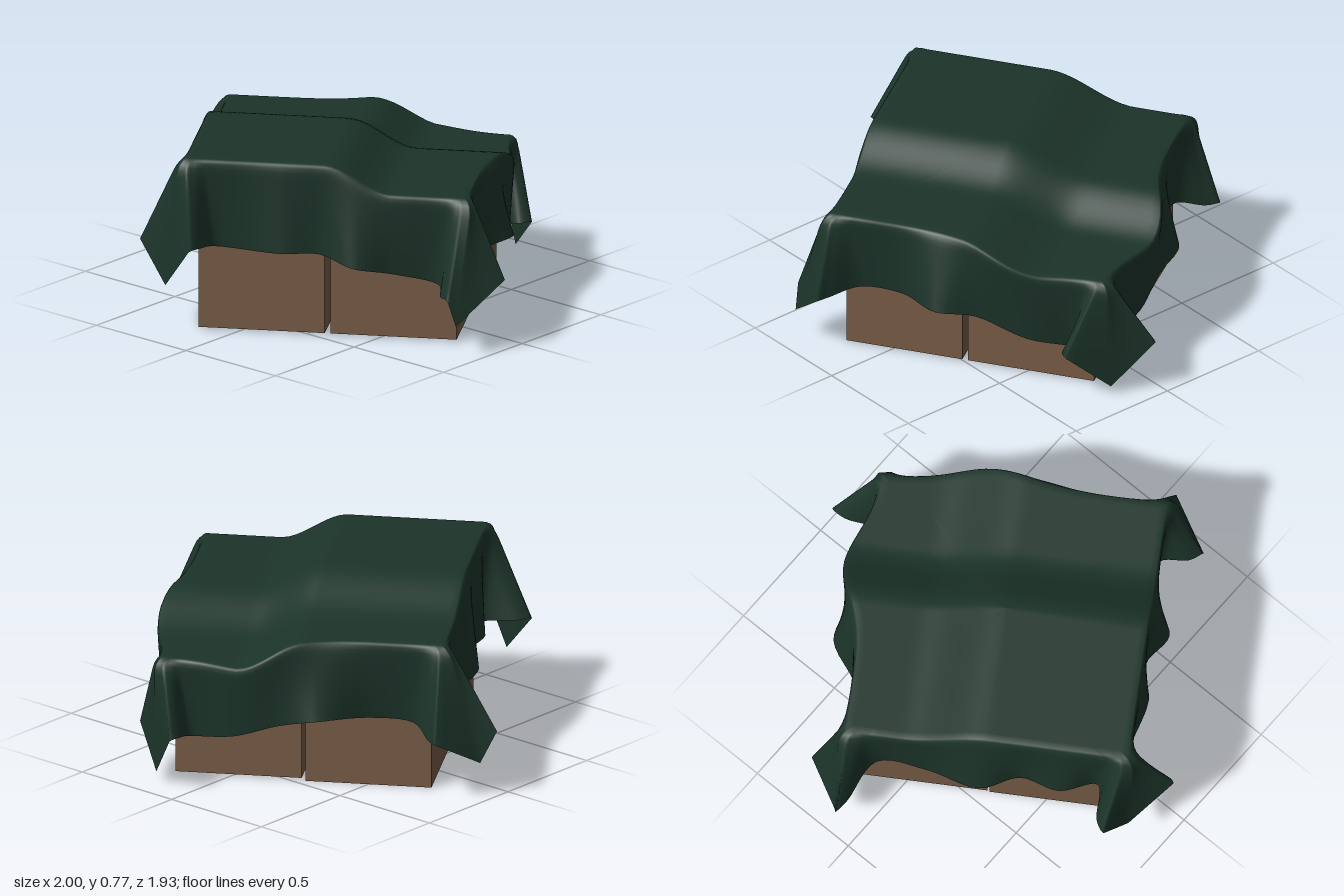
import * as THREE from 'three';

const ANGLE = 0.566;
const U = new THREE.Vector3(Math.cos(ANGLE), 0, -Math.sin(ANGLE)); // front corner -> right corner
const V = new THREE.Vector3(-Math.sin(ANGLE), 0, -Math.cos(ANGLE)); // front corner -> left corner
const CENTRE = new THREE.Vector3(0.025, 0, 0);
const RIM = 0.595; // half width of the sheet's upper surface
const WALL = 0.565; // half width the hem distances are measured from

const place = (u, v, y) => CENTRE.clone().addScaledVector(U, u).addScaledVector(V, v).setY(y);
const step = (x, width) => THREE.MathUtils.smoothstep(x, -0.01, width);
const bulge = (s) => Math.exp(-(((s - 0.3) / 0.38) ** 2));

// Upper surface of the sheet, stepping down over the lower boxes; a and b run -1..1
function topPoint(a, b) {
  const u = a * (RIM + (a > 0 ? 0.07 * bulge(b) : 0));
  const v = b * (RIM + (b > 0 ? 0.11 * bulge(a) : 0));
  return place(u, v, 0.772 - 0.118 * step(u, 0.28) - 0.116 * step(v, 0.36));
}

// Walk round the square: side 0 front-right, 1 right-back, 2 back-left, 3 left-front
function perimeter(q) {
  q = (q + 4) % 4;
  const k = Math.floor(q) % 4;
  const s = (q - k) * 2 - 1;
  return [[s, -1], [1, s], [-s, 1], [-1, -s]][k];
}

// Each corner flap: first fold, hanging tip, second fold (x, y, z)
const corners = [
  [[-0.37, 0.38, 0.87], [-0.22, 0.21, 0.88], [-0.02, 0.42, 0.96]],
  [[0.89, 0.25, 0.35], [0.92, 0.14, 0.33], [1.0, 0.31, 0.11]],
  [[0.37, 0.2, -0.78], [0.2, 0.04, -0.87], [0.04, 0.24, -0.97]],
  [[-0.87, 0.26, -0.31], [-0.95, 0.15, -0.12], [-1.0, 0.29, -0.07]],
];

// Hem of each side: position along it, distance outside the boxes, height
const sides = [
  [[-0.83, 0.02, 0.385], [-0.33, 0.065, 0.38], [-0.05, 0.03, 0.375], [0.22, 0.11, 0.345], [0.5, 0.035, 0.305], [0.84, 0.02, 0.265]],
  [[-0.83, 0.02, 0.31], [-0.5, 0.03, 0.315], [-0.18, 0.155, 0.33], [0.1, 0.09, 0.3], [0.5, 0.08, 0.225], [0.84, 0.03, 0.19]],
  [[-0.84, 0.03, 0.19], [-0.5, 0.1, 0.225], [-0.15, 0.12, 0.29], [0.15, 0.155, 0.33], [0.5, 0.03, 0.315], [0.83, 0.02, 0.3]],
  [[-0.83, 0.02, 0.3], [-0.45, 0.035, 0.32], [-0.04, 0.095, 0.345], [0.25, 0.03, 0.36], [0.55, 0.07, 0.37], [0.83, 0.02, 0.37]],
];

function sidePoint(k, s, out, y) {
  const t = s * WALL, d = WALL + out;
  const [u, v] = [[t, -d], [d, t], [-t, d], [-d, -t]][k];
  return place(u, v, y);
}

function clothGeometry() {
  // Pair every hem point with a place on the top rim
  const keys = [];
  for (let k = 0; k < 4; k++) {
    const [first, tip, second] = corners[k].map((p) => new THREE.Vector3(...p));
    // Inner face of a fold, giving it a rounded thickness
    const inner = (p) => p.clone().lerp(CENTRE, 0.07).setY(p.y);
    keys.push([k - 0.04, inner(first)]);
    keys.push([k - 0.025, first, true], [k, tip, true], [k + 0.025, second]);
    keys.push([k + 0.04, inner(second)]);
    sides[k].forEach(([s, out, y]) => keys.push([k + (s + 1) / 2, sidePoint(k, s, out, y)]));
  }
  const n = keys.length, per = 6, cols = n * per;
  const curve = new THREE.CatmullRomCurve3(keys.map((k) => k[1]), true, 'centripetal');
  const rings = 20;
  const drops = [0.02, 0.05, 0.1, 0.16, 0.24, 0.34, 0.46, 0.58, 0.7, 0.8, 0.9, 1];
  const rows = rings + 1 + drops.length;
  const pos = [], index = [];

  for (let j = 0; j < cols; j++) {
    const i = Math.floor(j / per), f = (j % per) / per;
    const [q0, start, straight] = keys[i];
    const [qNext, end] = keys[(i + 1) % n];
    const q1 = i + 1 < n ? qNext : qNext + 4;
    const [a, b] = perimeter(q0 + (q1 - q0) * f);
    // The sheet's own corners hang with straight edges, the rest waves
    const hem = straight ? start.clone().lerp(end, f) : curve.getPoint(j / cols);
    const rim = topPoint(a, b);
    const out = rim.clone().sub(CENTRE).setY(0).normalize();
    const corner = (a * b) ** 6;
    for (let r = 0; r < rows; r++) {
      let p;
      if (r <= rings) {
        p = topPoint(a * r / rings, b * r / rings);
      } else {
        // Skirt falls from the rim to the hem with a rounded shoulder, fuller at the corners
        const t = drops[r - rings - 1];
        p = rim.clone().lerp(hem, t);
        p.addScaledVector(out, (0.015 + 0.03 * corner) * (1 - Math.exp(-t / 0.04)) * (1 - t));
      }
      pos.push(p.x, p.y, p.z);
      if (r < rows - 1) {
        const A = j * rows + r, B = ((j + 1) % cols) * rows + r;
        if (r > 0) index.push(A, B + 1, B);
        index.push(A, A + 1, B + 1);
      }
    }
  }
  const g = new THREE.BufferGeometry();
  g.setAttribute('position', new THREE.Float32BufferAttribute(pos, 3));
  g.setIndex(index);
  g.computeVertexNormals();
  return g;
}

export function createModel() {
  const green = new THREE.MeshStandardMaterial({ color: 0x1c342a, side: THREE.DoubleSide });
  green.name = 'dark green cloth';
  const brown = new THREE.MeshStandardMaterial({ color: 0x775b45 });
  brown.name = 'cardboard brown';

  const model = new THREE.Group();
  model.name = 'coveredBoxes';

  // Four boxes of differing height, standing two by two a little unevenly
  const boxes = new THREE.Group();
  boxes.name = 'boxes';
  boxes.position.copy(CENTRE);
  boxes.rotation.y = ANGLE;
  [
    // name, u range, v range, height range
    ['frontBox', -0.548, -0.012, -0.545, -0.005, 0.01, 0.76],
    ['rightBox', 0.012, 0.548, -0.545, -0.035, 0.01, 0.643],
    ['leftBox', -0.54, -0.005, 0.005, 0.55, 0, 0.643],
    ['backBox', 0.012, 0.548, -0.01, 0.545, 0.01, 0.528],
  ].forEach(([name, u0, u1, v0, v1, y0, y1]) => {
    const box = new THREE.Mesh(new THREE.BoxGeometry(u1 - u0, y1 - y0, v1 - v0), brown);
    box.position.set((u0 + u1) / 2, (y0 + y1) / 2, -(v0 + v1) / 2);
    box.name = name;
    boxes.add(box);
  });
  model.add(boxes);

  // Sheet draped over the boxes
  const cloth = new THREE.Mesh(clothGeometry(), green);
  cloth.name = 'cloth';
  model.add(cloth);
  return model;
}
